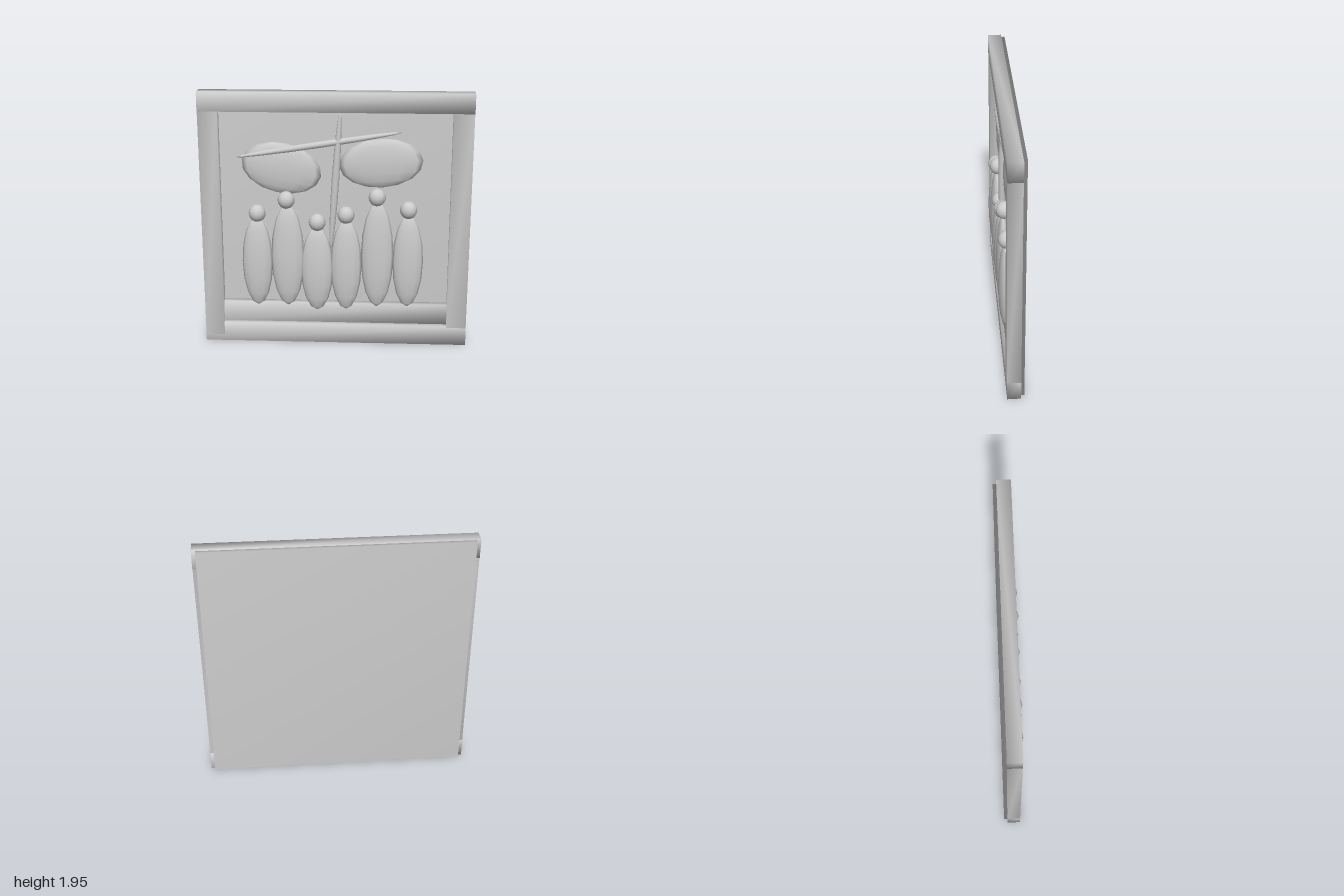
import * as THREE from 'three';
import { mergeVertices } from 'three/addons/utils/BufferGeometryUtils.js';

export function createModel() {
  const model = new THREE.Group();
  model.name = 'reliefPlaque';
  const stone = new THREE.MeshStandardMaterial({ color: 0xcccccc });
  stone.name = 'paleStone';

  function add(name, geometry, parent = model) {
    const mesh = new THREE.Mesh(geometry, stone);
    mesh.name = name;
    parent.add(mesh);
    return mesh;
  }

  // Box given by its limits, with normals shared across the corners
  function softBox(name, x0, x1, y0, y1, z0, z1) {
    let geometry = new THREE.BoxGeometry(x1 - x0, y1 - y0, z1 - z0);
    geometry.deleteAttribute('normal');
    geometry.deleteAttribute('uv');
    geometry = mergeVertices(geometry);
    geometry.computeVertexNormals();
    add(name, geometry).position.set((x0 + x1) / 2, (y0 + y1) / 2, (z0 + z1) / 2);
  }

  // Stretched low-poly sphere, optionally turned in the plane of the panel
  function ellipsoid(name, [x, y, z], [rx, ry, rz], turn = 0, parent = model) {
    const mesh = add(name, new THREE.SphereGeometry(1, 12, 8), parent);
    mesh.position.set(x, y, z);
    mesh.scale.set(rx, ry, rz);
    mesh.rotation.z = turn;
  }

  // Back panel and frame
  softBox('backPanel', -0.97, 0.97, 0.004, 1.94, -0.083, -0.028);
  softBox('topRail', -1, 1, 1.8, 1.945, -0.058, 0.044);
  softBox('bottomRail', -1, 1, 0, 0.15, -0.058, 0.042);
  softBox('rightPost', -0.999, -0.855, 0.05, 1.87, -0.057, 0.043);
  softBox('leftPost', 0.85, 0.999, 0.14, 1.81, -0.057, 0.043);
  softBox('groundLedge', -0.86, 0.86, 0.16, 0.32, -0.05, 0.02);

  // Clouds
  ellipsoid('rightCloud', [-0.4, 1.37, -0.025], [0.3, 0.19, 0.045], -0.22);
  ellipsoid('leftCloud', [0.335, 1.415, -0.025], [0.31, 0.185, 0.045], 0.08);

  // Crossed spars, thick in the middle and pointed at both ends
  function spar(name, x0, y0, x1, y1, radius) {
    const dx = x1 - x0, dy = y1 - y0;
    ellipsoid(name, [(x0 + x1) / 2, (y0 + y1) / 2, 0.005],
      [radius, Math.hypot(dx, dy) / 2, radius], Math.atan2(-dx, dy));
  }
  spar('uprightSpar', -0.035, 0.75, 0.035, 1.8, 0.028);
  spar('crossSpar', -0.735, 1.455, 0.49, 1.655, 0.024);

  // Standing figures: x, bottom, top of body, half width, head x, head y
  const figures = [
    [-0.587, 0.3, 1.0, 0.115, -0.583, 1.03],
    [-0.357, 0.3, 1.1, 0.125, -0.365, 1.135],
    [-0.137, 0.265, 0.93, 0.122, -0.135, 0.965],
    [0.082, 0.275, 0.99, 0.117, 0.08, 1.025],
    [0.315, 0.3, 1.13, 0.122, 0.31, 1.165],
    [0.545, 0.305, 1.03, 0.115, 0.543, 1.07],
  ];
  figures.forEach(([x, y0, y1, half, headX, headY], i) => {
    const figure = new THREE.Group();
    figure.name = `figure${i + 1}`;
    model.add(figure);
    ellipsoid('body', [x, (y0 + y1) / 2, 0.022], [half, (y1 - y0) / 2, 0.053], 0, figure);
    ellipsoid('head', [headX, headY, 0.015], [0.064, 0.067, 0.06], 0, figure);
  });

  return model;
}
